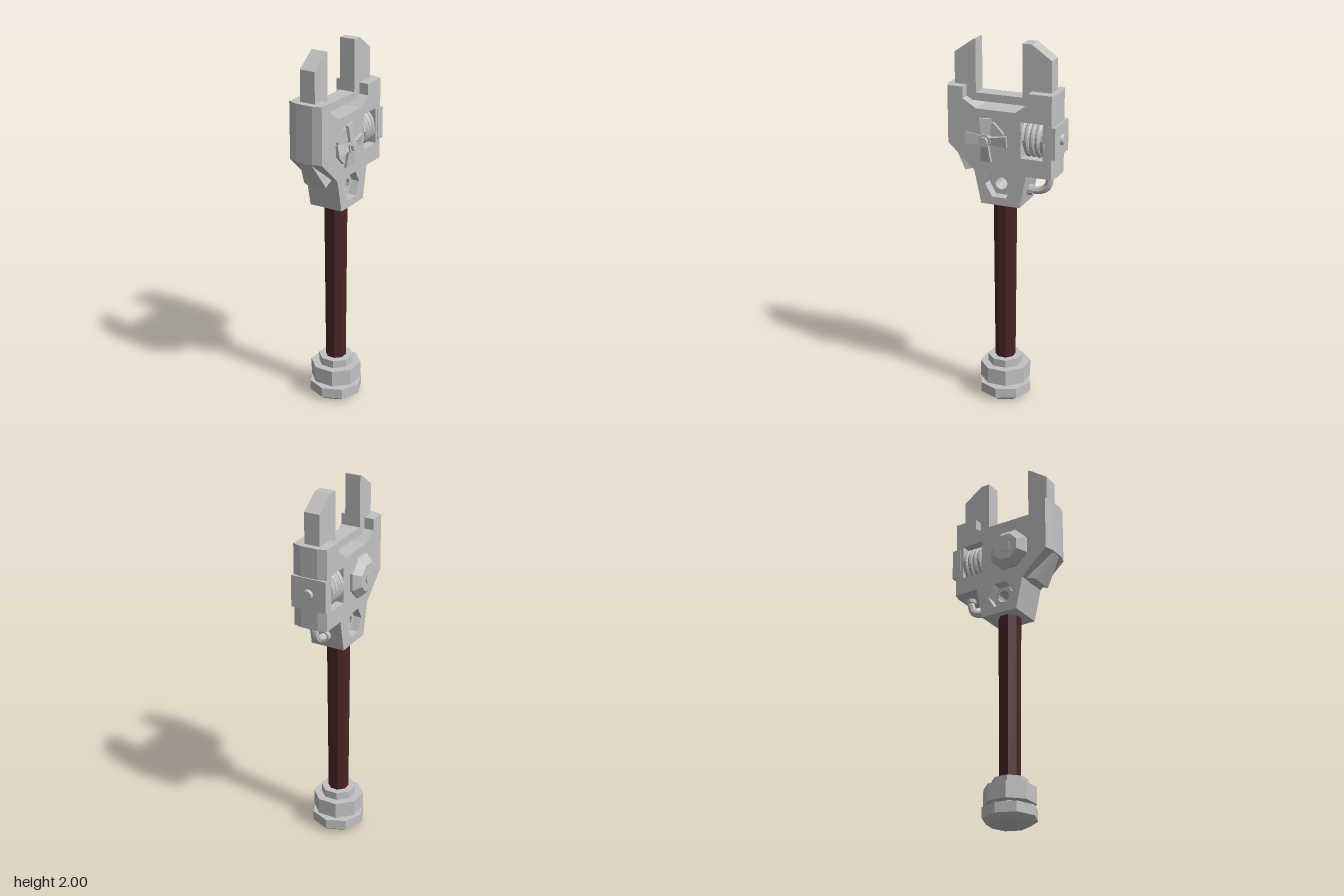
import * as THREE from 'three';

export function createModel() {
  const model = new THREE.Group();
  model.name = 'wrenchHammer';
  const steel = new THREE.MeshStandardMaterial({ color: 0xc2c2c2, flatShading: true });
  steel.name = 'steel';
  const wood = new THREE.MeshStandardMaterial({ color: 0x4a2426, flatShading: true });
  wood.name = 'dark red wood';
  const CX = -0.005; // centre line of head and handle
  const CZ = 0.012;

  const add = (name, geo, x = 0, y = 0, z = 0, mat = steel, parent = model) => {
    const m = new THREE.Mesh(geo, mat);
    m.name = name;
    m.position.set(x, y, z);
    parent.add(m);
    return m;
  };
  const path = (pts, Type = THREE.Path) => new Type(pts.map(([a, b]) => new THREE.Vector2(a, b)));
  const ngon = (n, r, z, y, turn = 0) => Array.from({ length: n }, (_, i) => {
    const a = turn + (i / n) * Math.PI * 2;
    return [z + r * Math.cos(a), y + r * Math.sin(a)];
  });
  // Side profile in (z, y), extruded across x and centred
  const slab = (pts, width, holes = [], steps = 1) => {
    const s = path(pts, THREE.Shape);
    holes.forEach(h => s.holes.push(path(h)));
    return new THREE.ExtrudeGeometry(s, { depth: width, bevelEnabled: false, steps })
      .translate(0, 0, -width / 2).rotateY(-Math.PI / 2);
  };
  const editVertices = (geo, fn) => {
    const p = geo.attributes.position;
    for (let i = 0; i < p.count; i++) p.setXYZ(i, ...fn(p.getX(i), p.getY(i), p.getZ(i)));
    geo.computeVertexNormals();
    return geo;
  };
  // Faceted turned part: [radius, height] profile
  const turned = (pts, sides, turn = 0) =>
    new THREE.LatheGeometry(pts.map(([r, h]) => new THREE.Vector2(r, h)), sides, turn);

  // Handle
  const E = Math.PI / 8;
  add('handle', new THREE.CylinderGeometry(0.062, 0.055, 0.96, 8, 1, false, E), CX, 0.68, CZ, wood);

  // Pommel
  add('pommelCap', turned([[0, 0], [0.105, 0], [0.145, 0.028], [0.145, 0.083], [0, 0.083]], 8), CX, 0, CZ);
  add('pommelNeck', new THREE.CylinderGeometry(0.094, 0.094, 0.16, 8, 1, false, E), CX, 0.155, CZ);
  add('pommelCollar', new THREE.CylinderGeometry(0.137, 0.137, 0.09, 8, 1, false, E), CX, 0.147, CZ);

  // Head block, with a nut socket and a coil window through it
  const outline = [
    [0.11, 1.143], [-0.105, 1.143], [-0.14, 1.32], [-0.29, 1.32], [-0.29, 1.76], [-0.15, 1.76],
    [-0.15, 1.70], [-0.08, 1.653], [0.135, 1.653], [0.21, 1.70], [0.21, 1.76], [0.31, 1.76],
    [0.31, 1.455], [0.148, 1.32]];
  const socket = ngon(6, 0.077, 0.01, 1.253);
  const window_ = [[-0.11, 1.415], [-0.11, 1.608], [-0.23, 1.608], [-0.23, 1.415]];
  const head = slab(outline, 0.19, [socket, window_], 4);
  // Chamfer the front and back corners
  editVertices(head, (x, y, z) =>
    [x, y, Math.abs(x) > 0.09 ? Math.min(0.294, Math.max(-0.276, z)) : z]);
  add('head', head, CX);

  // Pierced plate inside the socket
  add('socketPlate', slab(ngon(6, 0.077, 0.01, 1.253), 0.08, [ngon(12, 0.034, 0.01, 1.253)]), CX);
  add('socketNut', slab(ngon(6, 0.062, 0.01, 1.253), 0.12, [ngon(12, 0.034, 0.01, 1.253)]), CX);

  // Open jaws joined by a floor between them
  add('jaws', slab([
    [0.275, 1.68], [0.275, 1.925], [0.17, 2.0], [0.158, 2.0], [0.158, 1.722], [-0.098, 1.722],
    [-0.098, 2.0], [-0.148, 2.0], [-0.256, 1.925], [-0.256, 1.68]].reverse(), 0.086), CX);

  // Flared spur under the front
  const spur = slab([[0.3, 1.45], [0.212, 1.292], [0.12, 1.325], [0.2, 1.42]], 0.13, [], 4);
  editVertices(spur, (x, y, z) => {
    const low = (1.45 - y) / 0.158;
    const bow = 1 - (x / 0.065) ** 2;
    return [x * (0.55 + 0.45 * low), y - 0.012 * low * bow + 0.012 * low, z + 0.008 * bow];
  });
  add('frontSpur', spur, CX);

  // Coil running front to back in the window
  const turns = 4;
  const coil = new THREE.CatmullRomCurve3(Array.from({ length: turns * 12 + 1 }, (_, i) => {
    const a = (i / 12) * Math.PI * 2;
    return new THREE.Vector3(0.092 * Math.cos(a), 0.092 * Math.sin(a), -0.112 - 0.029 * (i / 12));
  }));
  add('coil', new THREE.TubeGeometry(coil, 112, 0.015, 8), CX, 1.511, 0);
  add('coilCore', new THREE.CylinderGeometry(0.075, 0.075, 0.13, 16).rotateX(Math.PI / 2), CX, 1.511, -0.17);

  // Clamp around the back edge, with a round stud
  const clamp = new THREE.Group();
  clamp.name = 'backClamp';
  clamp.position.set(CX, 1.513, 0);
  model.add(clamp);
  add('clampBand', slab([[-0.25, -0.085], [-0.298, -0.085], [-0.298, 0.085], [-0.25, 0.085]].reverse(), 0.2),
    0, 0, 0, steel, clamp).scale.x = 0.985;
  add('clampStud', new THREE.CylinderGeometry(0.024, 0.031, 0.02, 12).rotateX(-Math.PI / 2),
    0, 0, -0.303, steel, clamp);

  // Bent pipe under the back, with a flange at each end
  const pipe = new THREE.CatmullRomCurve3([
    [1.34, -0.237], [1.29, -0.237], [1.245, -0.222], [1.222, -0.185], [1.218, -0.14], [1.218, -0.1]
  ].map(([y, z]) => new THREE.Vector3(CX, y, z)));
  add('pipe', new THREE.TubeGeometry(pipe, 20, 0.021, 8));
  add('pipeTopFlange', new THREE.CylinderGeometry(0.028, 0.028, 0.025, 10), CX, 1.31, -0.237);
  add('pipeLowFlange', new THREE.CylinderGeometry(0.03, 0.03, 0.03, 10).rotateX(Math.PI / 2), CX, 1.218, -0.133);

  // Eight-sided boss on the right side
  const boss = add('rightBoss',
    turned([[0, 0], [0.118, 0], [0.118, 0.018], [0.078, 0.054], [0, 0.054]], 8, E),
    -0.096, 1.5, 0.07);
  boss.rotation.z = Math.PI / 2;
  add('rightBossNut', new THREE.CylinderGeometry(0.035, 0.035, 0.02, 8).rotateZ(Math.PI / 2), -0.146, 1.5, 0.07);

  // Valve wheel on the left side: backing disc, four pitched blades and a hub
  const wheel = new THREE.Group();
  wheel.name = 'leftWheel';
  wheel.position.set(0.09, 1.5, 0.072);
  model.add(wheel);
  const disc = (name, r, x0, x1, sides) => add(name,
    new THREE.CylinderGeometry(r, r, x1 - x0, sides, 1, false, E).rotateZ(Math.PI / 2),
    (x0 + x1) / 2, 0, 0, steel, wheel);
  disc('wheelBacking', 0.1, -0.01, 0.016, 8);
  disc('wheelHub', 0.035, 0, 0.046, 8);
  disc('wheelKnob', 0.023, 0.04, 0.062, 8);
  for (let i = 0; i < 4; i++) {
    const arm = new THREE.Group();
    arm.name = 'wheelArm';
    arm.rotation.x = i * Math.PI / 2;
    wheel.add(arm);
    const blade = new THREE.BoxGeometry(0.014, 0.09, 0.064);
    // Narrow towards the hub and dish towards the head at the rim
    editVertices(blade, (x, y, z) => [x - y * 0.1, y, y < 0 ? z * 0.65 : z]);
    add('wheelBlade', blade, 0.028, 0.069, 0, steel, arm).rotation.y = 0.2;
  }
  return model;
}
